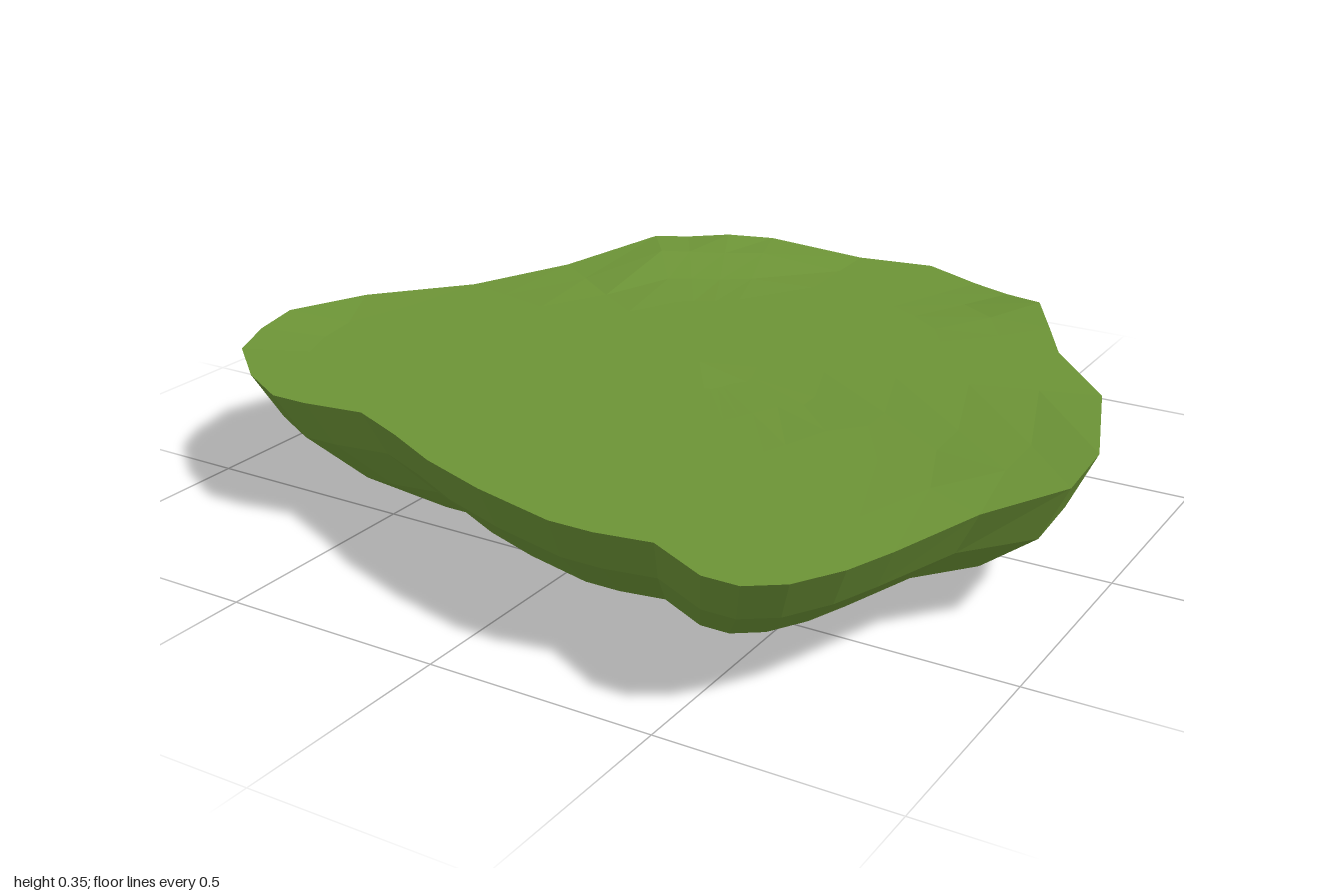
import * as THREE from 'three';

// Rim outline as [x, z], clockwise seen from above, starting at the back
const RIM = [
  [0.15, -0.93], [0.31, -0.85], [0.42, -0.79], [0.54, -0.70], [0.61, -0.59], [0.68, -0.47],
  [0.86, -0.26], [0.99, 0.12], [1.0, 0.30], [0.88, 0.45], [0.81, 0.67], [0.77, 0.78],
  [0.71, 0.88], [0.64, 0.93], [0.56, 0.93], [0.42, 0.86], [0.30, 0.88], [0.20, 0.88],
  [0.0, 0.83], [-0.17, 0.77], [-0.31, 0.70], [-0.45, 0.64], [-0.59, 0.66], [-0.68, 0.66],
  [-0.81, 0.59], [-0.94, 0.48], [-0.98, 0.37], [-1.0, 0.25], [-0.95, 0.03], [-0.78, -0.19],
  [-0.65, -0.42], [-0.53, -0.66], [-0.46, -0.71], [-0.37, -0.77], [-0.28, -0.85], [-0.04, -0.90],
];

// Gentle mounds and hollows of the upper surface: [x, z, height, radius x, radius z]
const MOUNDS = [
  [-0.52, -0.60, 0.05, 0.20, 0.18],
  [-0.32, -0.78, 0.04, 0.14, 0.14],
  [0.55, -0.70, 0.032, 0.13, 0.13],
  [1.0, 0.20, 0.036, 0.16, 0.18],
  [-1.0, 0.25, 0.02, 0.12, 0.20],
  [0.30, 0.06, -0.012, 0.22, 0.10],
];

function surfaceHeight(x, z) {
  let y = 0.303;
  for (const [mx, mz, h, rx, rz] of MOUNDS) {
    y += h * Math.exp(-(((x - mx) / rx) ** 2) - ((z - mz) / rz) ** 2);
  }
  return Math.min(y, 0.36);
}

// Rings from the underside centre, up the wall, and in over the top: [scale, y]
// A null height follows the upper surface.
const RINGS = [
  [0, 0], [0.62, 0], [0.80, 0.09], [0.935, 0.20], [1, null],
  [0.85, null], [0.68, null], [0.5, null], [0.32, null], [0.15, null], [0, null],
];

function buildSlab() {
  const positions = [];
  const n = RIM.length;
  const corner = (r, j) => {
    const [scale, height] = RINGS[r];
    const x = RIM[j % n][0] * scale;
    const z = RIM[j % n][1] * scale;
    return [x, height === null ? surfaceHeight(x, z) : height, z];
  };
  for (let r = 0; r < RINGS.length - 1; r++) {
    for (let j = 0; j < n; j++) {
      const a = corner(r, j), b = corner(r, j + 1);
      const c = corner(r + 1, j + 1), d = corner(r + 1, j);
      if (RINGS[r][0] > 0) positions.push(...b, ...a, ...d);
      if (RINGS[r + 1][0] > 0) positions.push(...b, ...d, ...c);
    }
  }
  const geometry = new THREE.BufferGeometry();
  geometry.setAttribute('position', new THREE.Float32BufferAttribute(positions, 3));
  // Unshared corners give flat facets
  geometry.computeVertexNormals();
  return geometry;
}

export function createModel() {
  const group = new THREE.Group();
  group.name = 'grassPlatform';
  const grass = new THREE.MeshStandardMaterial({ color: 0x6c9336 });
  grass.name = 'grass green';

  // Solid slab of ground with a tapered underside
  const slab = new THREE.Mesh(buildSlab(), grass);
  slab.name = 'groundSlab';
  group.add(slab);
  return group;
}
